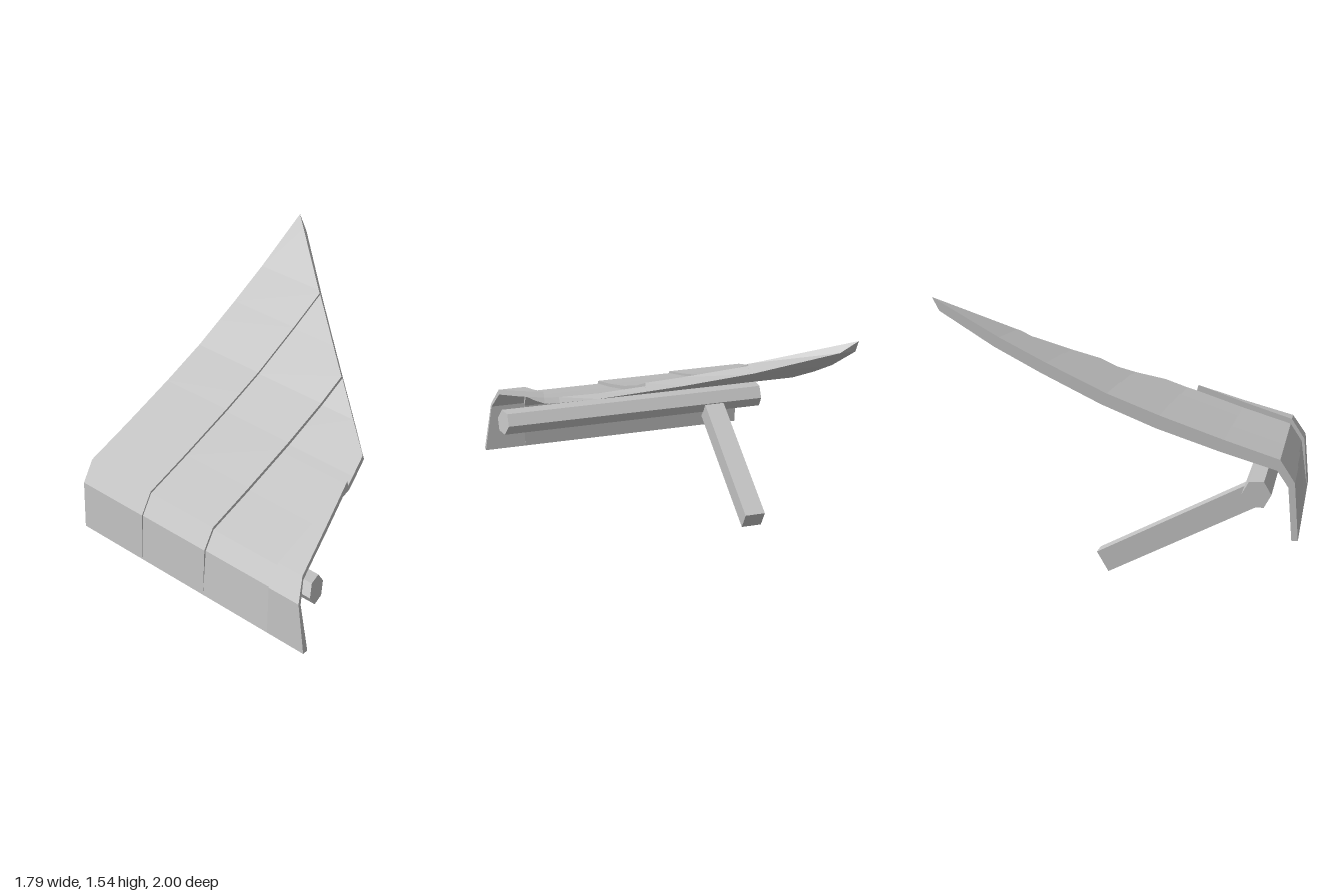
import * as THREE from 'three';

// Curved shell profile, bottom lip to tip, as [z, y]: outer skin and underside
const OUTER = [[1, .25], [.98, .565], [.9, .69], [.6, .79], [.25, .915], [-.04, 1.03], [-.37, 1.19], [-.63, 1.325], [-1, 1.54]];
const INNER = [[.965, .25], [.945, .54], [.885, .63], [.58, .725], [.23, .845], [-.07, .97], [-.4, 1.135], [-.66, 1.275], [-1.03, 1.51]];
// Slanted free edge of the shell as [z, x]
const EDGE = [[1, .89], [.98, .84], [.9, .8], [.31, .63], [.12, .58], [-1, -.81]];
const PANEL_TOPS = [-1, -.613, -.226, .31];
const TIP = -.93;

const mix = (a, b, t) => a + (b - a) * t;

// Find the segment of a descending table that holds z
function locate(table, z) {
  let i = 0;
  while (i < table.length - 2 && z < table[i + 1][0]) i++;
  return [i, (table[i][0] - z) / (table[i][0] - table[i + 1][0])];
}

function edgeX(z) {
  const [i, t] = locate(EDGE, z);
  return mix(EDGE[i][1], EDGE[i + 1][1], t);
}

// Point through the shell thickness: f = 0 on the outer skin, 1 on the underside
function skin(z, f) {
  const [i, t] = locate(OUTER, z);
  return [0, 1].map(k => mix(mix(OUTER[i][k], OUTER[i + 1][k], t), mix(INNER[i][k], INNER[i + 1][k], t), f));
}

// Loft of four-cornered rings, closed at both ends
function loft(rings) {
  const pos = [];
  const quad = (a, b, c, d) => pos.push(...a, ...b, ...c, ...a, ...c, ...d);
  for (let r = 0; r < rings.length - 1; r++) {
    const a = rings[r], b = rings[r + 1];
    for (let k = 0; k < 4; k++) quad(a[k], a[(k + 1) % 4], b[(k + 1) % 4], b[k]);
  }
  quad(...[...rings[0]].reverse());
  quad(...rings[rings.length - 1]);
  const g = new THREE.BufferGeometry();
  g.setAttribute('position', new THREE.Float32BufferAttribute(pos, 3));
  g.computeVertexNormals();
  return g;
}

// One strip of the shell between x0 and x1, trimmed by the slanted edge
function panelGeometry(x0, x1, top, f0, f1) {
  const rows = [...OUTER.map(p => p[0]), ...PANEL_TOPS.slice(1), .12, TIP]
    .filter(z => z >= top).sort((a, b) => b - a);
  return loft(rows.map(z => {
    const zi = Math.max(z, TIP);
    const [oz, oy] = skin(z, z === 1 ? 0 : f0);
    const [iz, iy] = skin(zi, z === 1 ? 1 : f1);
    const xr = Math.max(x0, Math.min(x1, edgeX(z)));
    const xi = Math.max(x0, Math.min(x1, edgeX(zi)));
    return [[x0, oy, oz], [xr, oy, oz], [xi, iy, iz], [x0, iy, iz]];
  }));
}

export function createModel() {
  const model = new THREE.Group();
  model.name = 'flapAssembly';
  const metal = new THREE.MeshStandardMaterial({ color: 0xc0c0c0 });
  metal.name = 'bare grey metal';
  metal.flatShading = true;
  const add = (name, geometry) => {
    const mesh = new THREE.Mesh(geometry, metal);
    mesh.name = name;
    model.add(mesh);
    return mesh;
  };

  // Four stepped shell panels: x range, top, outer and inner depth
  [
    ['innerPanel', -.81, -.33, PANEL_TOPS[0], 0, 1],
    ['middlePanel', -.33, .15, PANEL_TOPS[1], .2, 1],
    ['outerPanel', .15, .63, PANEL_TOPS[2], .5, 1],
    ['endPanel', .63, .89, PANEL_TOPS[3], 0, .5],
  ].forEach(([name, ...args]) => add(name, panelGeometry(...args)));

  // Hexagonal hinge rod along x, its outer end cut at a slant
  const rod = new THREE.CylinderGeometry(.08, .08, 1.7, 6);
  rod.rotateY(Math.PI / 2).rotateZ(-Math.PI / 2);
  rod.rotateX(Math.PI / 2 * Math.round(0));
  const p = rod.attributes.position;
  // Lay the hexagon with flat faces above and below
  for (let i = 0; i < p.count; i++) {
    const a = Math.atan2(p.getY(i), p.getZ(i));
    const r = Math.hypot(p.getY(i), p.getZ(i));
    const step = Math.round(a / (Math.PI / 6)) * Math.PI / 6;
    const flat = Math.abs(Math.round(step / (Math.PI / 6))) % 2 === 1 ? step + Math.PI / 6 : step;
    const y = r * Math.sin(flat), z = r * Math.cos(flat);
    const x = p.getX(i) > 0 ? .8 + .25 * z - .15 * y : -.9;
    p.setXYZ(i, x, .515 + y, .78 + z);
  }
  rod.computeVertexNormals();
  add('hingeRod', rod);

  // Square lever arm reaching down and back from the rod
  const side = new THREE.Shape([[.78, .4], [.7, .51], [-.125, .11], [-.06, .0]].map(([z, y]) => new THREE.Vector2(-z, y)));
  const arm = new THREE.ExtrudeGeometry(side, { depth: .125, bevelEnabled: false });
  arm.rotateY(Math.PI / 2).translate(-.64, 0, 0);
  add('leverArm', arm);

  return model;
}
